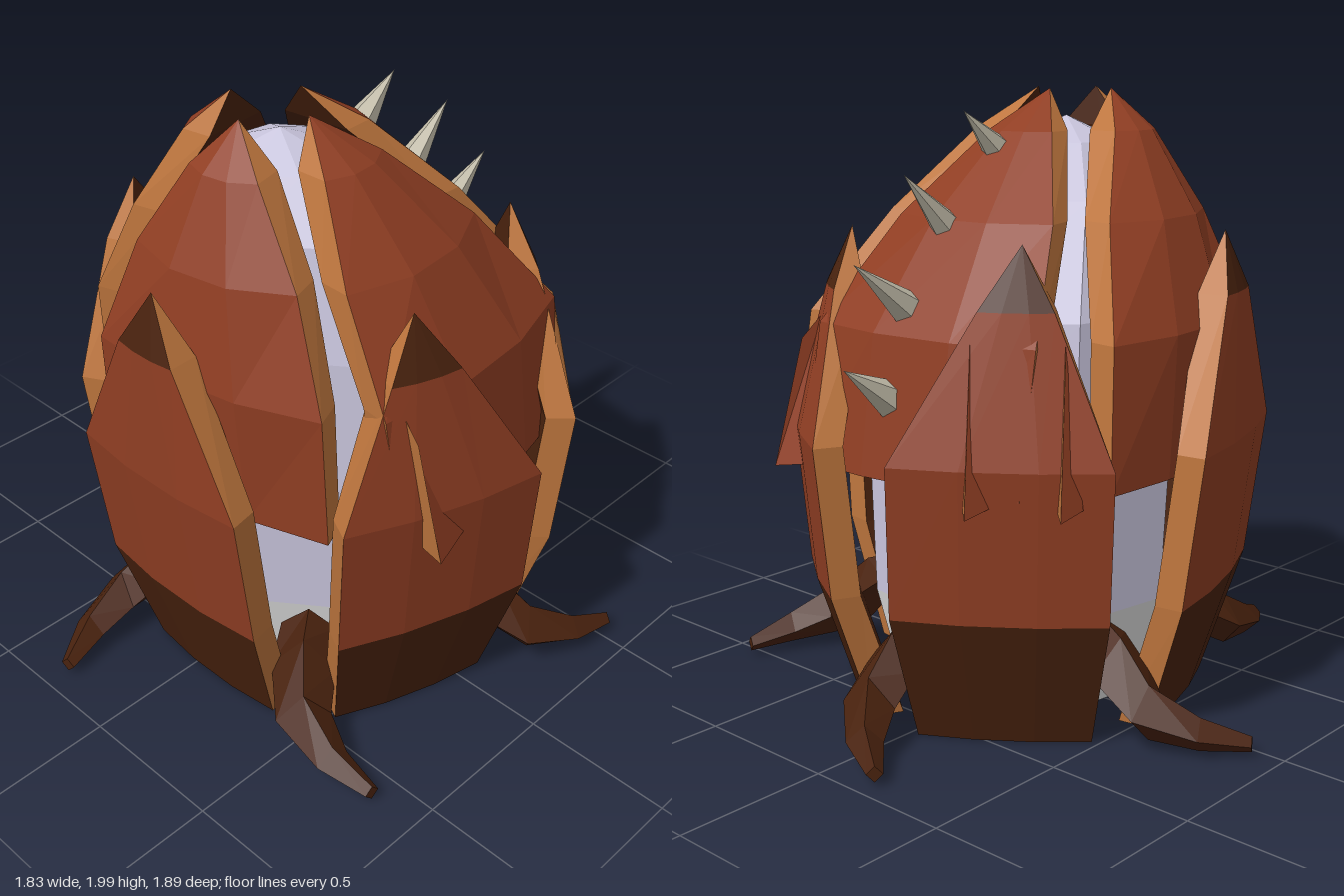
import * as THREE from 'three';

const CX = 0.075; // axis of the bud

function mat(name, color, side = THREE.FrontSide) {
  const m = new THREE.MeshStandardMaterial({ color, side });
  m.name = name;
  return m;
}

// Point at angle a around the axis: t = sideways, r = outwards, lean = forward shift
function P(a, t, y, r, lean = 0) {
  const s = Math.sin(a), c = Math.cos(a);
  return [CX + r * s + t * c, y, lean + r * c - t * s];
}

// Collects flat faces by material and turns them into meshes
class Faces {
  constructor() { this.sets = new Map(); }
  tri(m, a, b, c) {
    if (!this.sets.has(m)) this.sets.set(m, []);
    this.sets.get(m).push(...a, ...b, ...c);
  }
  quad(m, a, b, c, d) { this.tri(m, a, b, c); this.tri(m, a, c, d); }
  // Skin between two rings of equal length
  band(m, low, high) {
    for (let j = 0; j < low.length; j++) {
      const k = (j + 1) % low.length;
      this.quad(m, low[j], low[k], high[k], high[j]);
    }
  }
  group(name) {
    const g = new THREE.Group();
    g.name = name;
    for (const [m, pos] of this.sets) {
      const geo = new THREE.BufferGeometry();
      geo.setAttribute('position', new THREE.Float32BufferAttribute(pos, 3));
      geo.computeVertexNormals();
      const mesh = new THREE.Mesh(geo, m);
      mesh.name = name + ' ' + m.name;
      g.add(mesh);
    }
    return g;
  }
}

// Thick folded petal from rows [y, r, half width, lean, thickness, edge drop, material of the band above]
function petal(name, a, rows, widen, edge, inside) {
  const f = new Faces();
  const cols = [-1, -0.35, 0.35, 1];
  const out = rows.map(([y, r, w, l, , drop]) => cols.map(u =>
    P(a, u * w * widen, y, Math.abs(u) === 1 ? r - drop : r, l)));
  const inn = rows.map(([y, r, w, l, thick]) => cols.map(u => P(a, u * w * widen * 0.95, y, r - thick, l)));
  for (let i = 0; i < rows.length - 1; i++) {
    const o = out[i], p = out[i + 1], n = inn[i], q = inn[i + 1];
    for (let j = 0; j < 3; j++) {
      f.quad(rows[i][6], o[j], o[j + 1], p[j + 1], p[j]);
      f.quad(inside, n[j + 1], n[j], q[j], q[j + 1]);
    }
    f.quad(edge, n[0], o[0], p[0], q[0]);
    f.quad(edge, o[3], n[3], q[3], p[3]);
  }
  for (let j = 0; j < 3; j++) f.quad(inside, inn[0][j], inn[0][j + 1], out[0][j + 1], out[0][j]);
  return f.group(name);
}

export function createModel() {
  const root = new THREE.Group();
  root.name = 'spiked bud';
  const red = mat('red brown', 0x903e23);
  const orange = mat('orange edge', 0xbd753d);
  const dark = mat('dark brown', 0x49220e);
  const lilac = mat('pale lilac', 0xcac6de, THREE.DoubleSide);
  const white = mat('off white', 0xe0e0e0, THREE.DoubleSide);
  const bone = mat('bone grey', 0xc4beab);
  const deg = Math.PI / 180;

  // Core: eight sided hollow shell, open below, leaning forward towards its top
  const core = new Faces();
  const rings = [[0.02, 0.43, 0], [0.35, 0.51, 0], [0.85, 0.53, 0.01], [1.3, 0.49, 0.05],
    [1.65, 0.34, 0.15], [1.82, 0.19, 0.2], [1.9, 0, 0.22]].map(([y, r, l]) =>
    Array.from({ length: 8 }, (_, j) => P((j * 45 + 14) * deg, 0, y, r, l)));
  for (let i = 0; i < rings.length - 1; i++) core.band(i === 0 ? white : lilac, rings[i], rings[i + 1]);
  root.add(core.group('core'));

  // Four tall upper petals, the one on the left side of the bud being broadest
  const upper = [[0.83, 0.66, 0.41, 0, 0.13, 0.04, red], [1.27, 0.645, 0.405, 0.05, 0.155, 0.06, red],
    [1.6, 0.5, 0.285, 0.14, 0.18, 0.08, red], [1.86, 0.31, 0.12, 0.22, 0.14, 0.04, red],
    [1.99, 0.145, 0, 0.26, 0, 0, red]];
  for (const [a, widen] of [[10, 1], [96, 1.1], [187, 1.03], [276, 1]])
    root.add(petal('upper petal', a * deg, upper, widen, orange, dark));

  // Five lower petals with dark feet and tips
  const lower = [[0, 0.575, 0.275, 0, 0.12, 0.02, dark], [0.43, 0.71, 0.335, 0, 0.12, 0.025, red],
    [0.92, 0.765, 0.34, 0.015, 0.12, 0.025, red], [1.37, 0.7, 0.115, 0.08, 0.11, 0.01, dark],
    [1.56, 0.63, 0, 0.1, 0, 0, dark]];
  for (let k = 0; k < 5; k++)
    root.add(petal('lower petal', k * 72 * deg, lower, 1, orange, dark));

  // Blade thorns on the side and rear petals: [angle, sideways, width, stick-out]
  for (const [a, t, w, out] of [[72, -0.07, 0.14, 0.075], [144, -0.2, 0.04, 0.03], [144, 0.02, 0.08, 0.075],
    [216, -0.09, 0.07, 0.06], [216, 0.19, 0.06, 0.06]]) {
    const f = new Faces(), g = a * deg;
    const top = P(g, t - 0.03, 1.28, 0.7, 0.06), mid = P(g, t - 0.02, 1.2, 0.69 + out, 0.05);
    const tip = P(g, t, 0.79, 0.76 + out, 0.01);
    const left = P(g, t - 0.02, 0.8, 0.72, 0.01), right = P(g, t + w, 0.81, 0.745, 0.01);
    f.quad(orange, top, left, tip, mid);
    f.quad(red, top, mid, tip, right);
    f.tri(dark, left, right, tip);
    root.add(f.group('thorn'));
  }

  // Five roots between the lower petals, bending sideways: [t, y, r, half width, half height, turn]
  const path = [[0, 0.29, 0.5, 0.09, 0.07, 0], [0, 0.21, 0.61, 0.105, 0.115, 0], [0.02, 0.12, 0.74, 0.09, 0.09, 0.35],
    [0.13, 0.07, 0.86, 0.058, 0.055, 0.8], [0.265, 0.04, 0.945, 0.026, 0.026, 0.85]];
  for (let k = 0; k < 5; k++) {
    const f = new Faces(), a = (36 + 72 * k) * deg;
    const loops = path.map(([t, y, r, w, h, turn]) => [[1, 0], [0, 1], [-1, 0], [0, -1]].map(([u, v]) =>
      P(a, t + u * w * Math.cos(turn), Math.max(0.005, y + v * h), r - u * w * Math.sin(turn))));
    for (let i = 0; i < loops.length - 1; i++) f.band(dark, loops[i], loops[i + 1]);
    const [b, e] = [loops[0], loops[loops.length - 1]];
    f.quad(dark, b[3], b[2], b[1], b[0]);
    f.quad(dark, ...e);
    root.add(f.group('root'));
  }

  // Row of spikes down the back: [base y, base z, tip y, tip z]
  for (const [y0, z0, y1, z1] of [[1.77, -0.08, 1.93, -0.27], [1.54, -0.31, 1.75, -0.53],
    [1.33, -0.51, 1.5, -0.74], [1.07, -0.6, 1.19, -0.79]]) {
    const d = new THREE.Vector3(0, y1 - y0, z1 - z0);
    const geo = new THREE.ConeGeometry(0.062, d.length(), 6).toNonIndexed();
    geo.computeVertexNormals();
    const spike = new THREE.Mesh(geo, bone);
    spike.name = 'back spike';
    spike.position.set(CX, (y0 + y1) / 2, (z0 + z1) / 2);
    spike.quaternion.setFromUnitVectors(new THREE.Vector3(0, 1, 0), d.normalize());
    root.add(spike);
  }
  return root;
}
